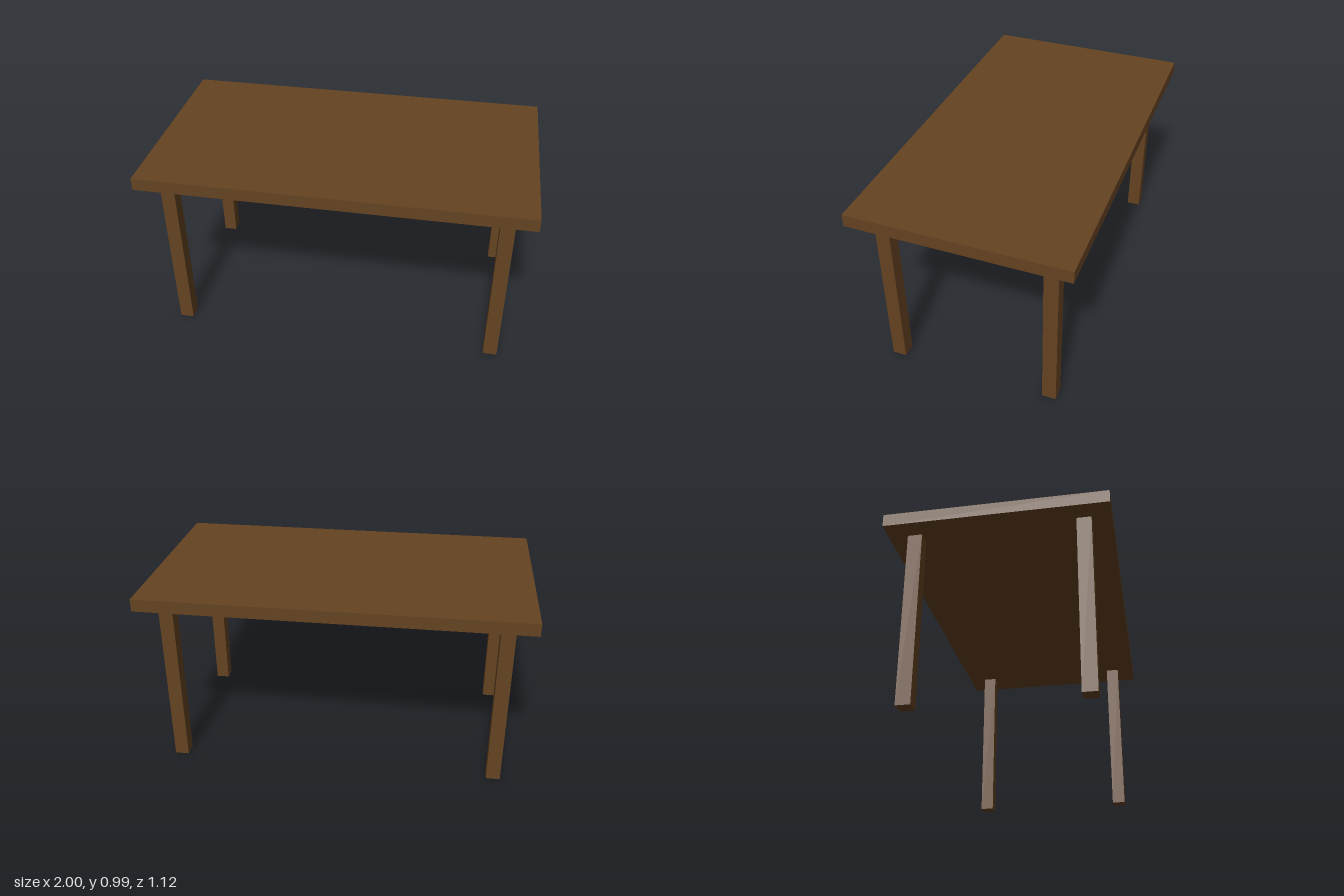
import * as THREE from 'three';

export function createModel() {
  const table = new THREE.Group();
  table.name = 'table';

  const wood = new THREE.MeshStandardMaterial({ color: 0x654321 });
  wood.name = 'brown wood';

  const addBox = (name, [w, h, d], [x, y, z]) => {
    const mesh = new THREE.Mesh(new THREE.BoxGeometry(w, h, d), wood);
    mesh.name = name;
    mesh.position.set(x, y, z);
    table.add(mesh);
  };

  // Slab top, resting on the legs
  const legHeight = 0.925, topThickness = 0.066;
  addBox('tableTop', [2, topThickness, 1.12], [0, legHeight + topThickness / 2, 0]);

  // Four square legs, set in from the corners
  const legWidth = 0.074;
  for (const [side, sx] of [['Left', 1], ['Right', -1]]) {
    for (const [end, sz] of [['front', 1], ['back', -1]]) {
      addBox(`${end}${side}Leg`, [legWidth, legHeight, legWidth],
        [sx * 0.863, legHeight / 2, sz * 0.425]);
    }
  }

  return table;
}
